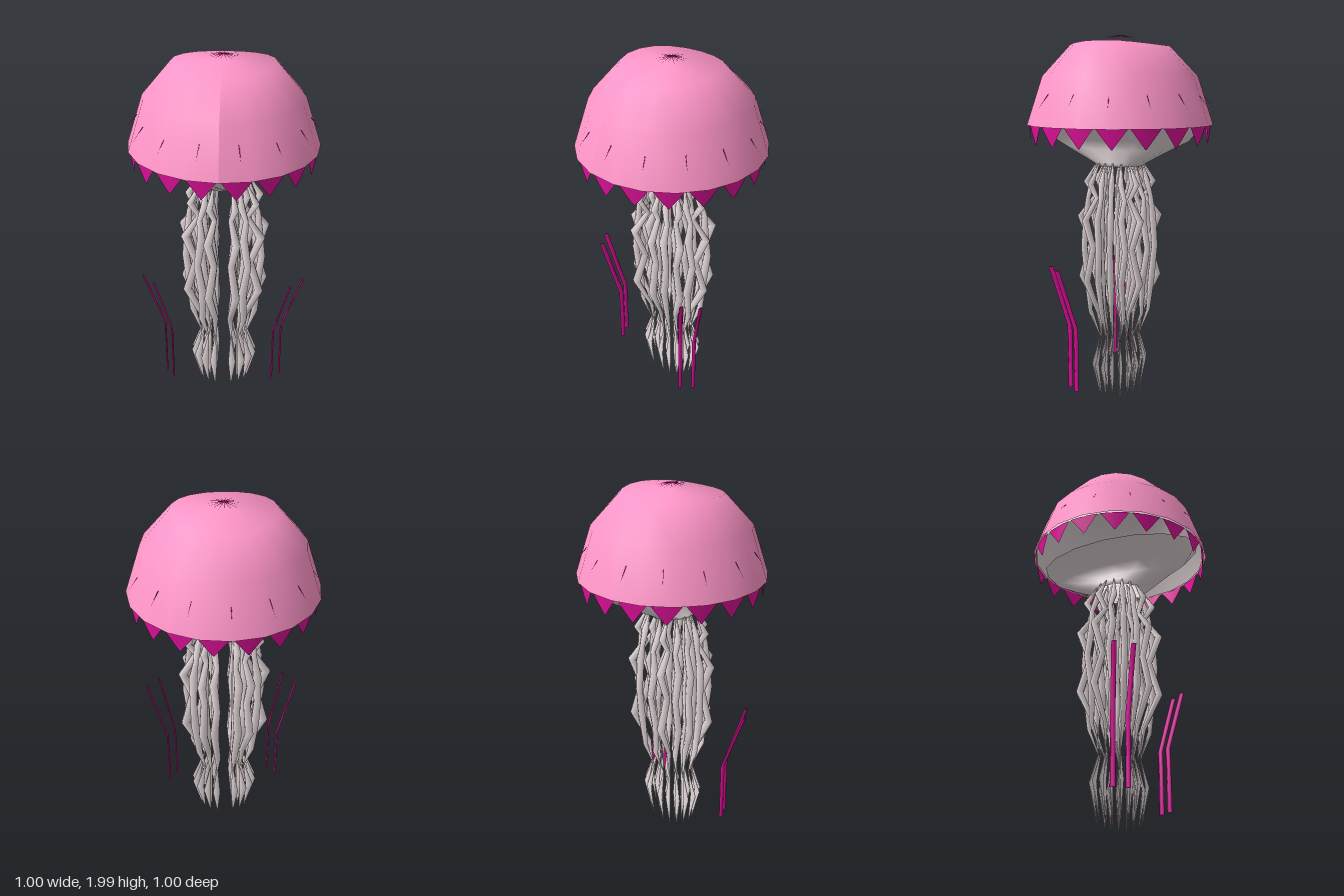
import * as THREE from 'three';

const mat = (color) => new THREE.MeshStandardMaterial({ color, side: THREE.DoubleSide });
const pink = mat(0xff95c8), magenta = mat(0xe0109a), pale = mat(0xeadde0);

const add = (parent, name, geometry, material) => {
  const mesh = new THREE.Mesh(geometry, material);
  mesh.name = name;
  parent.add(mesh);
  return mesh;
};

// Domed skin whose upper part falls away towards the front and back
function dome(points) {
  const g = new THREE.LatheGeometry(points.map(([r, y]) => new THREE.Vector2(r, y)), 20);
  const p = g.attributes.position;
  for (let i = 0; i < p.count; i++) {
    const r = Math.hypot(p.getX(i), p.getZ(i));
    if (r < 0.3) p.setY(i, p.getY(i) - 0.3 * p.getZ(i) ** 2);
  }
  g.computeVertexNormals();
  return g;
}

// Skin through elliptical cross-sections given as [x, y, z, radiusX, radiusZ]
function loft(sections, sides) {
  const pos = [], idx = [];
  sections.forEach(([x, y, z, rx, rz], j) => {
    for (let i = 0; i < sides; i++) {
      const a = (i / sides) * Math.PI * 2;
      pos.push(x + rx * Math.sin(a), y, z + rz * Math.cos(a));
      if (j === 0) continue;
      const n = (i + 1) % sides, p = (j - 1) * sides, q = j * sides;
      // sections may run up or down: keep faces outward
      if (y > sections[j - 1][1]) idx.push(p + i, p + n, q + i, p + n, q + n, q + i);
      else idx.push(p + i, q + i, p + n, p + n, q + i, q + n);
    }
  });
  const g = new THREE.BufferGeometry();
  g.setAttribute('position', new THREE.Float32BufferAttribute(pos, 3));
  g.setIndex(idx);
  g.computeVertexNormals();
  return g;
}

// Thin spike running between two points
function spike(parent, name, from, to, radius) {
  const d = to.clone().sub(from);
  const m = add(parent, name, new THREE.ConeGeometry(radius, d.length(), 4), magenta);
  m.position.copy(from).addScaledVector(d, 0.5);
  m.quaternion.setFromUnitVectors(new THREE.Vector3(0, 1, 0), d.normalize());
}

const polar = (r, y, a) => new THREE.Vector3(r * Math.sin(a), y, r * Math.cos(a));

// Radius, height, width and depth of a trailing strand at each of its knots
const KNOTS = [
  [0.12, 1.33, 0.004, 0.004], [0.165, 1.22, 0.022, 0.018], [0.155, 1.14, 0.016, 0.014],
  [0.20, 1.03, 0.026, 0.020], [0.18, 0.87, 0.022, 0.018], [0.195, 0.69, 0.026, 0.020],
  [0.145, 0.50, 0.020, 0.010], [0.115, 0.35, 0.004, 0.003], [0.155, 0.20, 0.024, 0.006],
  [0.12, 0.01, 0.002, 0.002],
];

function strand(angle, scale, phase) {
  const sections = KNOTS.map(([r, y, w, d], j) => {
    const swing = j > 0 && j < 7 ? ((j + phase) % 2 ? 1 : -1) : 0;
    const p = polar((r + 0.018 * swing) * scale, y, angle + 0.05 * swing);
    // keep a narrow gap along the middle
    const x = Math.sign(p.x) * (0.025 + Math.abs(p.x) * 0.95);
    return [x, y, p.z * (y < 0.4 ? 0.85 : 0.95), w, d];
  });
  return loft(sections, 6);
}

export function createModel() {
  const model = new THREE.Group();
  model.name = 'jellyfish';

  // Bell and its lining
  add(model, 'bell', dome([[0.5, 1.53], [0.415, 1.785], [0.265, 1.96], [0, 1.975]]), pink);
  add(model, 'bellLining', dome([[0.485, 1.53], [0.39, 1.76], [0.24, 1.925], [0, 1.945]]), pale);

  // Membrane under the bell, wide from front to back and pinched at the sides
  add(model, 'underMembrane', loft([
    [0, 1.31, 0, 0.12, 0.13], [0, 1.33, 0, 0.135, 0.16], [0.025, 1.40, 0, 0.10, 0.30],
    [0.02, 1.45, 0, 0.125, 0.40], [0, 1.53, 0, 0.24, 0.47],
  ], 16), pale);

  // Pointed teeth hanging from the rim
  const frill = new THREE.Group();
  frill.name = 'rimFrill';
  model.add(frill);
  const tooth = new THREE.PlaneGeometry(1, 0.1, 4, 4);
  const tp = tooth.attributes.position;
  for (let i = 0; i < tp.count; i++) {
    const t = 0.5 - tp.getY(i) / 0.1;
    const a = tp.getX(i) * 0.32 * (1 - 0.97 * t);
    const r = 0.487 - 0.01 * t;
    tp.setXYZ(i, r * Math.sin(a), 1.53 - 0.1 * t, r * Math.cos(a));
  }
  tooth.computeVertexNormals();
  for (let i = 0; i < 18; i++) {
    add(frill, 'rimTooth', tooth, magenta).rotation.y = ((i + 0.5) * Math.PI) / 9;
  }

  // Fine bristles round the bell and on its crown
  const bristles = new THREE.Group();
  bristles.name = 'bristles';
  model.add(bristles);
  for (let i = 0; i < 15; i++) {
    const a = Math.PI + (i * Math.PI * 2) / 15;
    spike(bristles, 'bellBristle', polar(0.43, 1.705, a), polar(0.497, 1.625, a), 0.0025);
    spike(bristles, 'crownBristle', polar(0, 1.998, a), polar(0.08, 1.986, a), 0.002);
  }

  // Outer and inner rings of trailing strands
  const strands = new THREE.Group();
  strands.name = 'trailingStrands';
  model.add(strands);
  [[16, 1], [10, 0.58]].forEach(([count, scale]) => {
    for (let i = 0; i < count; i++) {
      const a = ((i + 0.5) * Math.PI * 2) / count;
      // the right-hand strands mirror the left-hand ones
      const phase = Math.min(i, count - 1 - i);
      const s = i < count / 2 ? 1 : -1;
      const g = strand(s > 0 ? a : Math.PI * 2 - a, scale, phase);
      add(strands, 'strand', g, pale).scale.x = s;
    }
  });

  // Two bent ribbons on each side
  for (const side of [1, -1]) {
    for (const [x0, z0, x1, z1] of [[0.287, 0.165, 0.367, 0.23], [0.332, 0.105, 0.437, 0.155]]) {
      add(model, side > 0 ? 'leftRibbon' : 'rightRibbon', loft([
        [side * x0, 0.11, z0, 0.005, 0.014],
        [side * x0, 0.46, z0, 0.005, 0.014],
        [side * x1, 0.80, z1, 0.005, 0.014],
      ], 4), magenta);
    }
  }
  return model;
}
